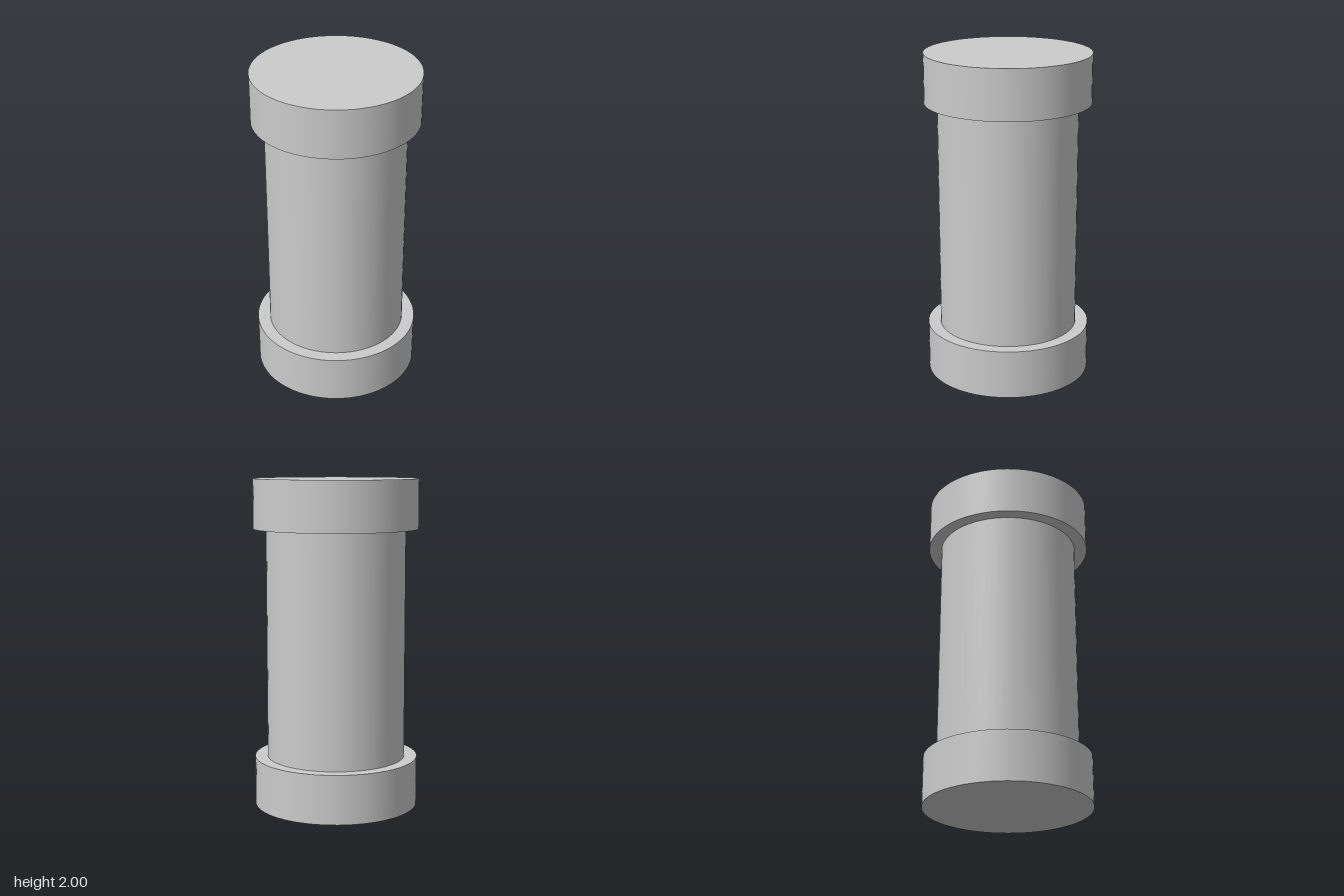
import * as THREE from 'three';

const HEIGHT = 2;
const CAP_HEIGHT = 0.3;
const CAP_RADIUS = 0.5;
const SHAFT_RADIUS = 0.423;
const SEGMENTS = 64;

export function createModel() {
  const model = new THREE.Group();
  model.name = 'column';
  const material = new THREE.MeshStandardMaterial({ color: 0xcccccc });

  // Upright cylinder standing on the height y
  function addDrum(name, radius, height, y) {
    const geometry = new THREE.CylinderGeometry(radius, radius, height, SEGMENTS);
    const mesh = new THREE.Mesh(geometry, material);
    mesh.name = name;
    mesh.position.y = y + height / 2;
    model.add(mesh);
  }

  // Wide collars at both ends, slimmer shaft between them
  addDrum('bottomCap', CAP_RADIUS, CAP_HEIGHT, 0);
  addDrum('shaft', SHAFT_RADIUS, HEIGHT - 2 * CAP_HEIGHT, CAP_HEIGHT);
  addDrum('topCap', CAP_RADIUS, CAP_HEIGHT, HEIGHT - CAP_HEIGHT);

  return model;
}
